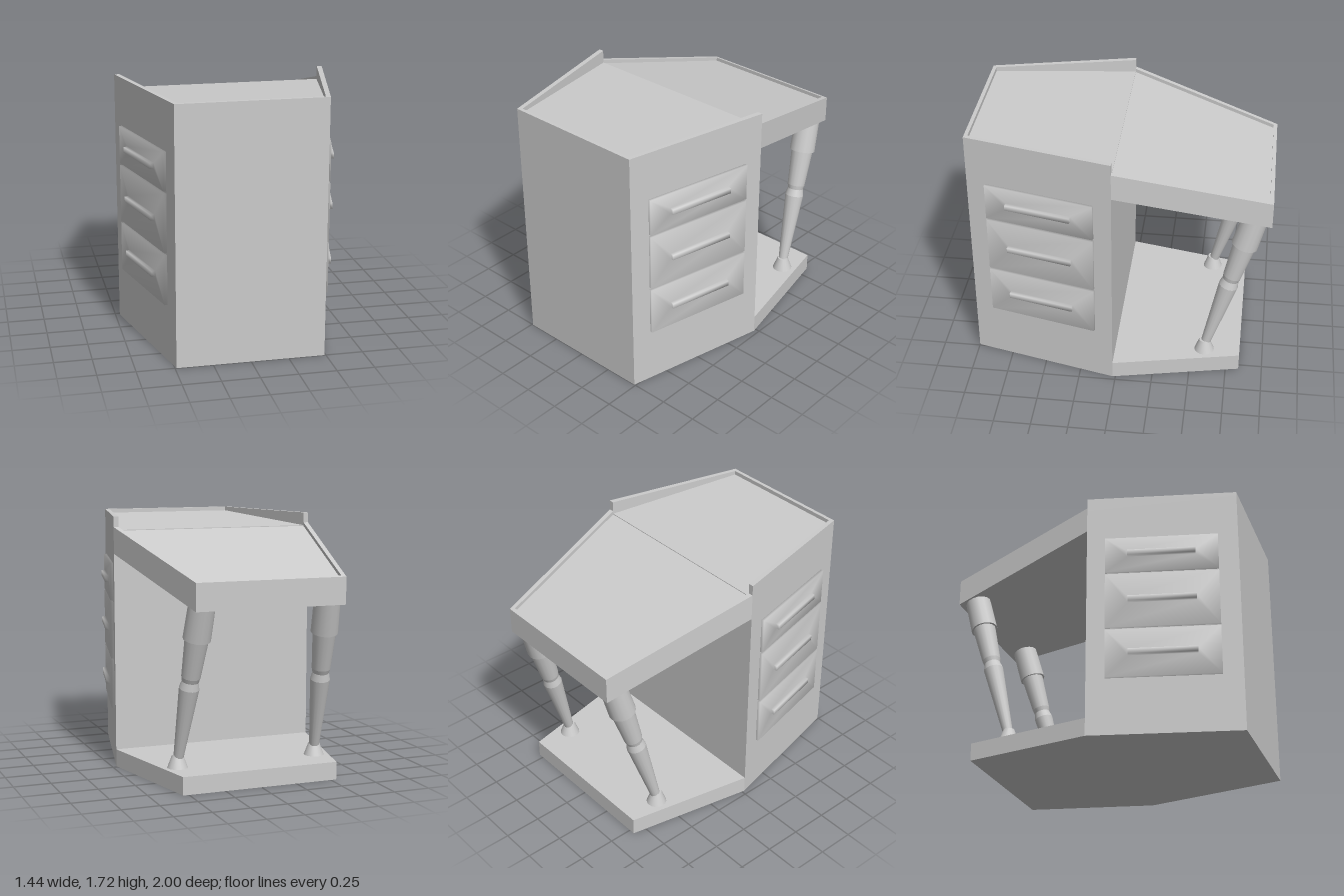
import * as THREE from 'three';

const material = new THREE.MeshStandardMaterial({ color: 0xcccccc });

// Skins a stack of rings (counter-clockwise about the growth direction) and caps both ends.
function loft(name, rings, smooth = false) {
  const n = rings[0].length, last = (rings.length - 1) * n, index = [];
  for (let i = 0; i < rings.length - 1; i++) {
    for (let j = 0; j < n; j++) {
      const a = i * n + j, b = i * n + (j + 1) % n;
      index.push(a, b, b + n, a, b + n, a + n);
    }
  }
  for (let j = 1; j < n - 1; j++) {
    index.push(0, j + 1, j, last, last + j, last + j + 1);
  }
  let geometry = new THREE.BufferGeometry();
  geometry.setAttribute('position', new THREE.Float32BufferAttribute(rings.flat(2), 3));
  geometry.setIndex(index);
  if (!smooth) geometry = geometry.toNonIndexed();
  geometry.computeVertexNormals();
  const mesh = new THREE.Mesh(geometry, material);
  mesh.name = name;
  return mesh;
}

// Block over a plan outline, with heights given as functions of z.
const block = (name, plan, bottom, top) => loft(name, [bottom, top].map(
  (h) => plan.map(([x, z]) => [x, h(z), z])));

// Raised lip following an outline between its outer and inner paths.
const lip = (name, outer, inner, floor, top) => loft(name, outer.map(([x, z], i) => {
  const [u, w] = inner[i];
  return [[x, floor(z), z], [u, floor(w), w], [u, top(w), w], [x, top(z), z]];
}));

const rect = (w, h, y, z) => [
  [-w / 2, y - h / 2, z], [w / 2, y - h / 2, z], [w / 2, y + h / 2, z], [-w / 2, y + h / 2, z]];

// Drawer front swelling smoothly into its bar handle.
function drawer(y0, y1, handleY) {
  const y = (y0 + y1) / 2, h = y1 - y0;
  return loft('drawer', [
    rect(0.75, h, y, -0.02),
    rect(0.75, h, y, 0.02),
    rect(0.45, 0.04, handleY, 0.021),
    rect(0.45, 0.036, handleY, 0.048),
  ], true);
}

// Jointed leg leaning outward at the foot and back at the top.
function leg(side) {
  const group = new THREE.Group();
  group.name = 'leg';
  const foot = new THREE.Vector3(side * 0.49, 0.14, -0.59);
  const head = new THREE.Vector3(side * 0.43, 1.23, -0.895);
  const shaft = new THREE.Group();
  shaft.name = 'legShaft';
  // Each section: start, end, start radius, end radius
  const sections = [
    [0, 0.55, 0.03, 0.066], [0.55, 0.6, 0.066, 0.055], [0.6, 0.63, 0.055, 0.062],
    [0.63, 0.91, 0.062, 0.078], [0.89, 1.13, 0.09, 0.086],
  ];
  for (const [a, b, r0, r1] of sections) {
    const part = new THREE.Mesh(new THREE.CylinderGeometry(r1, r0, b - a, 16), material);
    part.name = 'legSection';
    part.position.y = (a + b) / 2;
    shaft.add(part);
  }
  shaft.position.copy(foot);
  shaft.quaternion.setFromUnitVectors(new THREE.Vector3(0, 1, 0), head.sub(foot).normalize());
  const flare = new THREE.Mesh(new THREE.CylinderGeometry(0.036, 0.07, 0.09, 16), material);
  flare.name = 'legFoot';
  flare.position.set(side * 0.49, 0.16, -0.595);
  group.add(shaft, flare);
  return group;
}

export function createModel() {
  const model = new THREE.Group();
  model.name = 'counter';

  // Cabinet with a top that dips towards the middle
  const cabinetFloor = (z) => 1.63 + (z - 0.02) * 0.065;
  const front = [[-0.72, 0.02], [-0.49, 1], [0.49, 1], [0.72, 0.02]];
  const frontInner = [[-0.685, 0.02], [-0.465, 0.975], [0.465, 0.975], [0.685, 0.02]];
  model.add(block('cabinet', front, () => 0, cabinetFloor));
  model.add(lip('cabinetLip', front, frontInner, cabinetFloor, () => 1.72));

  // Sloping rear top
  const slope = (y) => (z) => y + (z - 0.02) * 0.2745;
  const rear = [[0.72, 0.02], [0.51, -1], [-0.51, -1], [-0.72, 0.02]];
  const rearInner = [[0.685, 0.02], [0.485, -0.975], [-0.485, -0.975], [-0.685, 0.02]];
  model.add(block('rearTop', rear, slope(1.47), slope(1.625)));
  model.add(lip('rearTopLip', rear, rearInner, slope(1.625), slope(1.65)));

  // Rear base
  const base = [[0.72, 0.02], [0.54, -0.84], [-0.54, -0.84], [-0.72, 0.02]];
  model.add(block('base', base, () => 0, () => 0.12));

  // Drawers and legs on both sides
  for (const side of [1, -1]) {
    const drawers = new THREE.Group();
    drawers.name = side > 0 ? 'leftDrawers' : 'rightDrawers';
    drawers.add(drawer(0.385, 0.72, 0.55), drawer(0.735, 1.125, 0.93), drawer(1.14, 1.395, 1.27));
    drawers.position.set(side * 0.606, 0, 0.505);
    drawers.rotation.y = side * Math.atan2(0.98, 0.23);
    model.add(drawers, leg(side));
  }
  return model;
}
